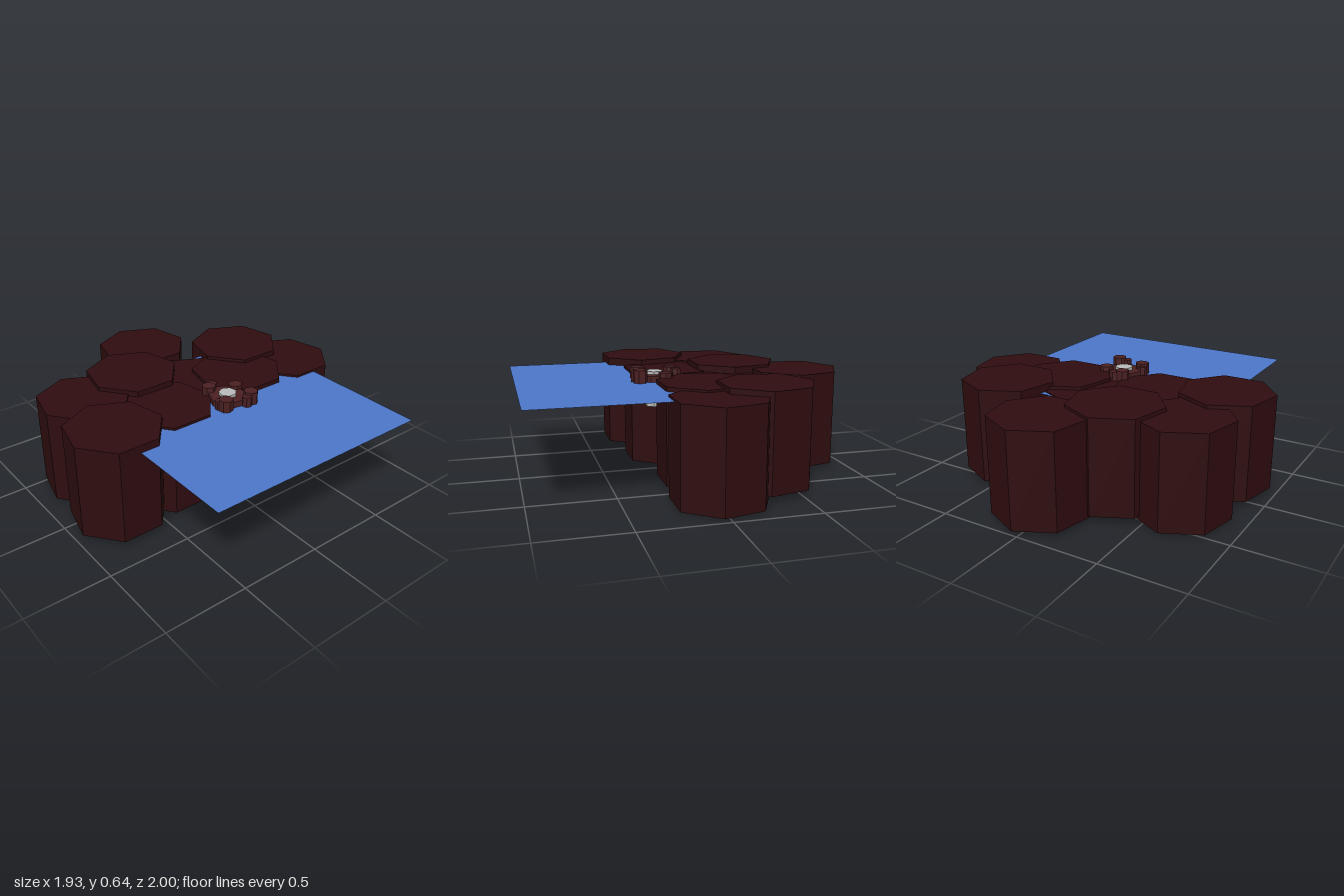
import * as THREE from 'three';

export function createModel() {
  const model = new THREE.Group();
  const mat = (name, color, extra = {}) => {
    const m = new THREE.MeshStandardMaterial({ color, flatShading: true, ...extra });
    m.name = name;
    return m;
  };
  const rock = mat('darkRock', 0x2f0d0f);
  const water = mat('waterBlue', 0x4e78cb, { side: THREE.DoubleSide });
  const brown = mat('reddishBrown', 0x4b2021);
  const grey = mat('paleGrey', 0xbcbcbc);

  // Upright seven-sided prism with one corner towards -z
  function prism(name, material, x, z, radius, bottom, top, parent = model, turn = Math.PI) {
    const geo = new THREE.CylinderGeometry(radius, radius, top - bottom, 7);
    const mesh = new THREE.Mesh(geo, material);
    mesh.name = name;
    mesh.position.set(x, (bottom + top) / 2, z);
    mesh.rotation.y = turn;
    parent.add(mesh);
    return mesh;
  }

  // Cluster of rock columns: x, z, bottom height
  const columns = new THREE.Group();
  columns.name = 'rockColumns';
  model.add(columns);
  const columnHeight = 0.575;
  [
    [0.035, -0.716, 0.025],
    [0.527, -0.346, 0.04],
    [-0.632, -0.325, 0.018],
    [-0.25, -0.398, 0.042],
    [-0.692, 0.1, 0.04],
    [-0.29, 0.024, 0.008],
    [0.307, -0.053, 0.02],
    [0.688, -0.03, 0.007],
    [0.04, -0.17, 0],
  ].forEach(([x, z, y], i) =>
    prism(`rockColumn${i + 1}`, rock, x, z, 0.284, y, y + columnHeight, columns));

  // Flat sheet of water running in under the column tops
  const sheet = new THREE.Mesh(new THREE.PlaneGeometry(1.39, 1.39), water);
  sheet.name = 'waterSheet';
  sheet.rotation.x = -Math.PI / 2;
  sheet.position.set(0.01, 0.569, 0.305);
  model.add(sheet);

  // Small vent: pale core, brown collar and a ring of stubs
  const vent = new THREE.Group();
  vent.name = 'vent';
  model.add(vent);
  prism('ventCore', grey, 0.037, 0.183, 0.054, 0.41, 0.622, vent);
  prism('ventCollar', brown, 0.037, 0.183, 0.115, 0.455, 0.605, vent, 0.3);
  [
    [-0.015, 0.072, 0.042, 0.54, 0.635],
    [0.028, 0.046, 0.031, 0.55, 0.628],
    [0.135, 0.135, 0.042, 0.53, 0.625],
    [0.128, 0.285, 0.043, 0.53, 0.645],
    [0.085, 0.303, 0.03, 0.535, 0.63],
    [-0.045, 0.268, 0.043, 0.535, 0.637],
    [-0.062, 0.238, 0.03, 0.54, 0.622],
  ].forEach(([x, z, r, y0, y1], i) =>
    prism(`ventStub${i + 1}`, brown, x, z, r, y0, y1, vent, i * 0.7));
  return model;
}
